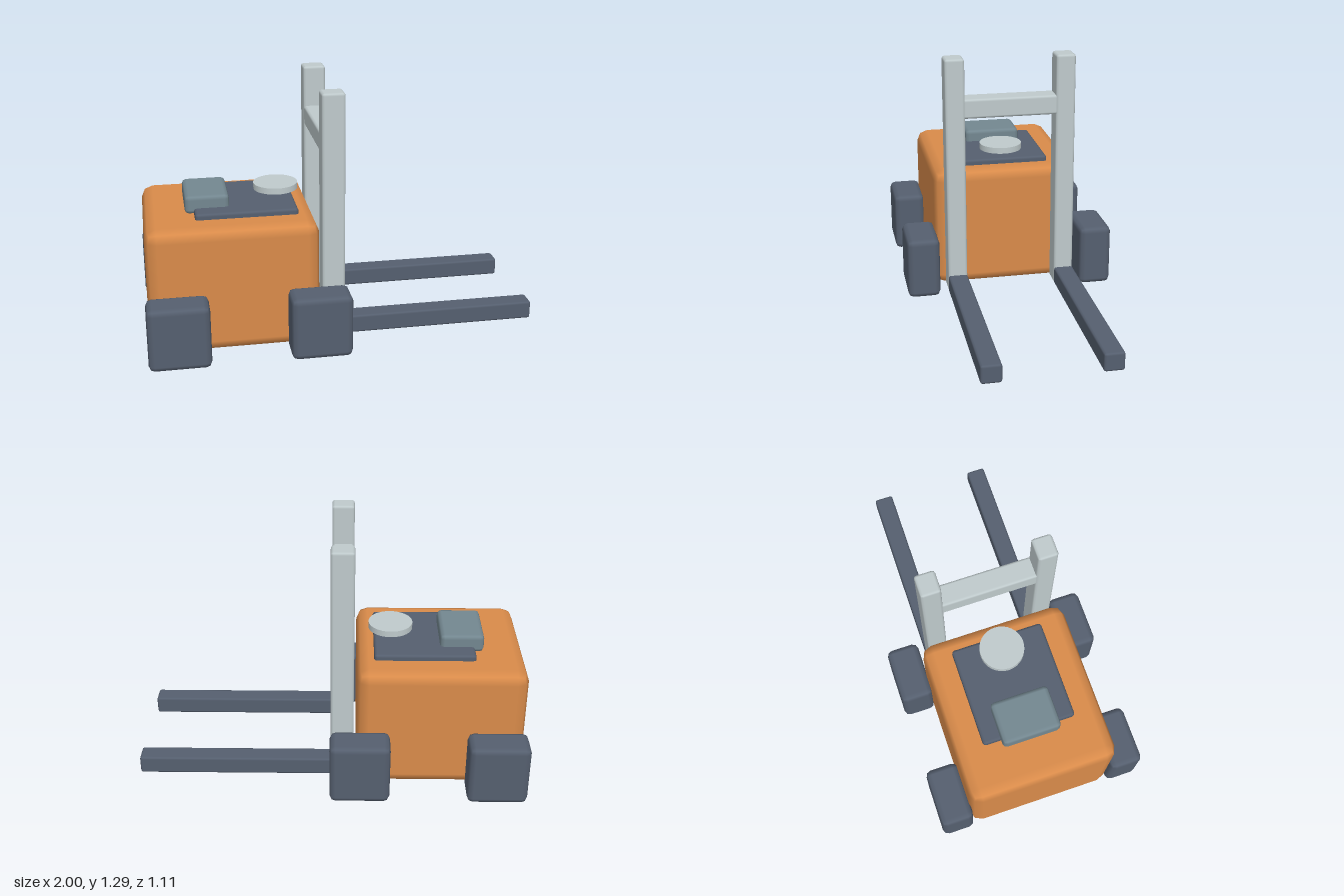
import * as THREE from 'three';
import { RoundedBoxGeometry } from 'three/addons/geometries/RoundedBoxGeometry.js';

export function createModel() {
  const model = new THREE.Group();
  model.name = 'forklift';

  const paint = (name, color) => {
    const m = new THREE.MeshStandardMaterial({ color });
    m.name = name;
    return m;
  };
  const orange = paint('orange body paint', 0xd98b4a);
  const dark = paint('dark slate', 0x555f6f);
  const steel = paint('light steel', 0xbfcacc);
  const grey = paint('seat grey', 0x738790);

  // Softly bevelled block given by its extents on each axis
  const block = (name, material, [x0, x1], [y0, y1], [z0, z1], bevel) => {
    const geometry = new RoundedBoxGeometry(x1 - x0, y1 - y0, z1 - z0, 1, bevel);
    const mesh = new THREE.Mesh(geometry, material);
    mesh.position.set((x0 + x1) / 2, (y0 + y1) / 2, (z0 + z1) / 2);
    mesh.name = name;
    model.add(mesh);
  };

  // Chassis, deck plate and seat
  block('body', orange, [-0.988, -0.13], [0, 0.657], [-0.388, 0.388], 0.06);
  block('deckPlate', dark, [-0.733, -0.217], [0.635, 0.687], [-0.243, 0.243], 0.015);
  block('seat', grey, [-0.778, -0.555], [0.655, 0.75], [-0.152, 0.152], 0.022);

  // Steering disc
  const disc = new THREE.Mesh(new THREE.CylinderGeometry(0.114, 0.114, 0.032, 32), steel);
  disc.position.set(-0.304, 0.737, 0);
  disc.name = 'steeringDisc';
  model.add(disc);

  // Wheels, mast posts and forks on both sides
  for (const side of [1, -1]) {
    const label = side > 0 ? 'left' : 'right';
    const span = (near, far) => (side > 0 ? [near, far] : [-far, -near]);
    block(label + 'WheelBack', dark, [-1, -0.693], [0, 0.328], span(0.383, 0.556), 0.03);
    block(label + 'WheelFront', dark, [-0.3, 0.006], [0, 0.328], span(0.383, 0.556), 0.03);
    block(label + 'MastPost', steel, [-0.115, 0.002], [0.022, 1.294], span(0.238, 0.341), 0.014);
    block(label + 'Fork', dark, [-0.005, 1], [0.022, 0.117], span(0.238, 0.341), 0.012);
  }

  // Bar joining the posts
  block('mastCrossbar', steel, [-0.113, 0], [0.979, 1.083], [-0.25, 0.25], 0.014);

  return model;
}
